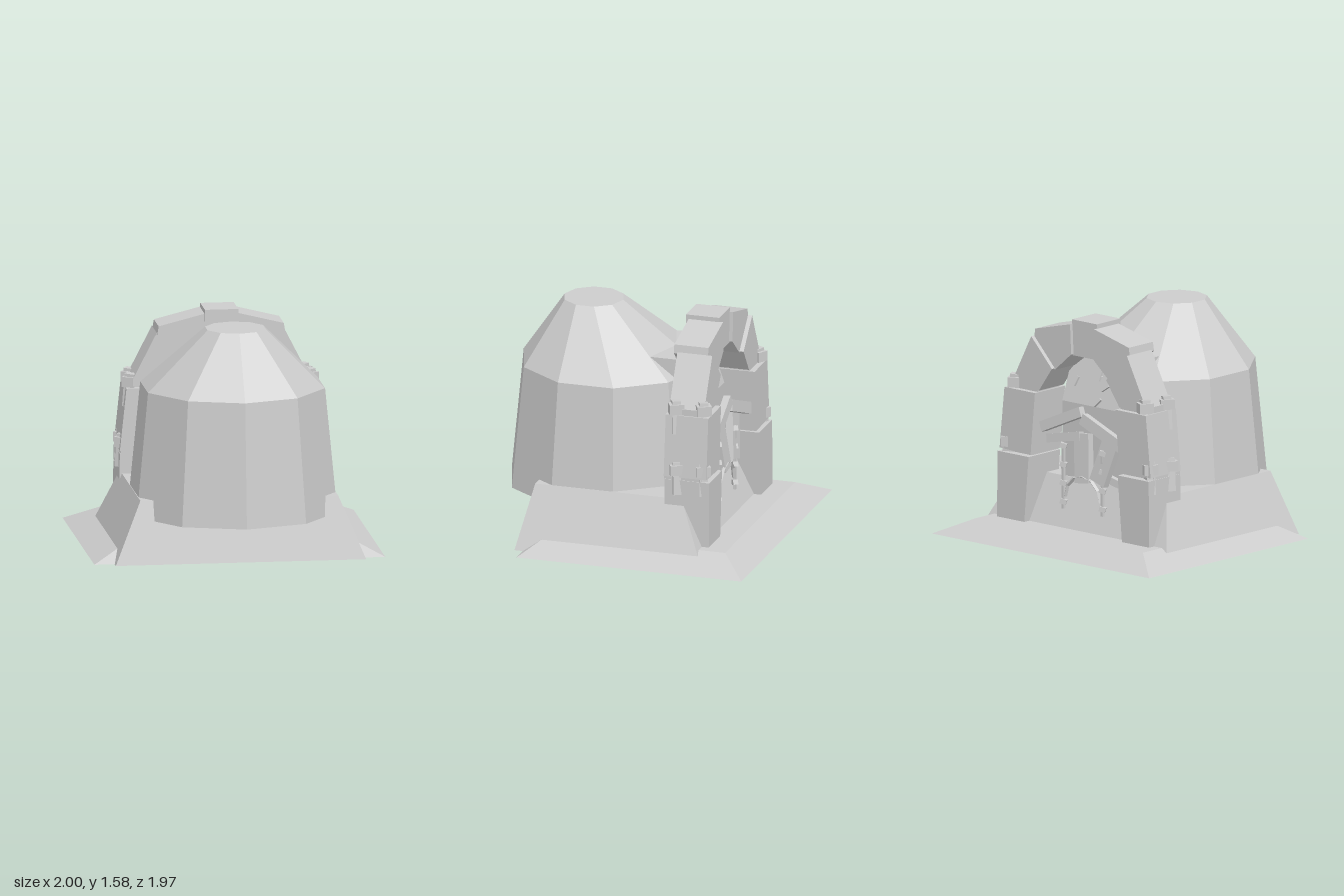
import * as THREE from 'three';

export function createModel() {
  const group = new THREE.Group();
  const stone = new THREE.MeshStandardMaterial({ color: 0xcccccc });
  stone.name = 'pale stone';
  stone.flatShading = true;

  const add = (name, geometry, parent = group) => {
    const mesh = new THREE.Mesh(geometry, stone);
    mesh.name = name;
    parent.add(mesh);
    return mesh;
  };

  const box = (name, size, pos, rot = [0, 0, 0], parent = group) => {
    const mesh = add(name, new THREE.BoxGeometry(...size), parent);
    mesh.position.set(...pos);
    mesh.rotation.set(...rot);
    return mesh;
  };

  // Box whose top rectangle differs from its bottom; ranges are [halfX, zBack, zFront]
  const frustum = (name, height, bottom, top) => {
    const g = new THREE.BoxGeometry(2, 1, 2);
    const p = g.attributes.position;
    for (let i = 0; i < p.count; i++) {
      const high = p.getY(i) > 0;
      const [hx, zb, zf] = high ? top : bottom;
      p.setXYZ(i, p.getX(i) * hx, high ? height : 0, p.getZ(i) > 0 ? zf : zb);
    }
    g.computeVertexNormals();
    return add(name, g);
  };

  // Flat polygon given thickness from zBack to zFront
  const slab = (name, points, zBack, zFront, parent = group) => {
    const shape = new THREE.Shape(points.map(([x, y]) => new THREE.Vector2(x, y)));
    const g = new THREE.ExtrudeGeometry(shape, { depth: zFront - zBack, bevelEnabled: false });
    g.translate(0, 0, zBack);
    return add(name, g, parent);
  };

  // Stepped base
  frustum('footing', 0.11, [1, -0.99, 0.62], [0.77, -0.8, 0.46]);
  frustum('plinth', 0.43, [0.86, -0.66, 0.68], [0.68, -0.46, 0.59]);

  // Ten-sided tower with an off-centre sloping roof
  const wall = new THREE.CylinderGeometry(0.64, 0.725, 0.86, 10);
  add('towerWall', wall).position.set(0, 0.72, 0.253);
  const roof = new THREE.CylinderGeometry(0.21, 0.64, 0.425, 10);
  const rp = roof.attributes.position;
  for (let i = 0; i < rp.count; i++) if (rp.getY(i) > 0) rp.setZ(i, rp.getZ(i) + 0.137);
  add('towerRoof', roof).position.set(0, 1.3625, 0.253);

  // Passage joining the tower to the gateway, with a sloping hood
  const hood = slab('passage',
    [[0.1, 0.1], [0.1, 1.29], [-0.33, 1.29], [-0.45, 0.95], [-0.45, 0.1]], -0.29, 0.29);
  hood.rotation.y = -Math.PI / 2;

  // Gateway arch: mirrored stones and a keystone
  const arch = new THREE.Group();
  arch.name = 'gatewayArch';
  group.add(arch);
  const stones = [
    ['footStone', [[0.45, 0.1], [0.7, 0.1], [0.695, 0.57], [0.41, 0.57]], -0.66, -0.34],
    ['jambStone', [[0.41, 0.58], [0.695, 0.59], [0.65, 1.02], [0.37, 1.02]], -0.64, -0.335],
    ['springerStone', [[0.37, 1.03], [0.63, 1.03], [0.44, 1.4], [0.25, 1.2]], -0.6, -0.35],
    ['archStone', [[0.25, 1.19], [0.44, 1.39], [0.43, 1.45], [0.11, 1.53], [0.1, 1.32]], -0.57, -0.325],
  ];
  for (const s of [1, -1]) {
    for (const [name, pts, zb, zf] of stones) {
      const mirrored = pts.map(([x, y]) => [x * s, y]);
      slab(name, mirrored, zb, zf, arch);
    }
    // Mortar beds and corner cramps at the two joints
    box('lowerBed', [0.26, 0.03, 0.27], [s * 0.56, 0.58, -0.47], [0, 0, 0], arch);
    box('upperBed', [0.26, 0.05, 0.22], [s * 0.51, 1.04, -0.49], [0, 0, 0], arch);
    for (const [x, y, z] of [[0.67, 0.58, -0.42], [0.65, 0.58, -0.6], [0.62, 1, -0.4], [0.6, 1, -0.59]]) {
      box('cramp', [0.07, 0.23, 0.06], [s * x, y, z], [0, s * 0.5, s * 0.08], arch);
      box('crampHead', [0.08, 0.07, 0.1], [s * x, y + 0.06, z], [0, s * 0.5, 0], arch);
    }
  }
  slab('keystone', [[-0.11, 1.31], [0.11, 1.31], [0.115, 1.56], [-0.115, 1.56]], -0.545, -0.305, arch);

  // Broken boards across the doorway: [width, height, x, y, z, tilt]
  const boards = [
    [0.38, 0.07, 0.17, 0.86, -0.58, -0.42], [0.4, 0.08, -0.2, 0.82, -0.58, 0.36],
    [0.13, 0.34, 0.02, 0.6, -0.53, -0.12], [0.14, 0.36, -0.2, 0.63, -0.54, 0.3],
    [0.3, 0.06, 0.2, 0.72, -0.52, -0.2], [0.26, 0.05, -0.22, 0.48, -0.51, 0.2],
  ];
  for (const [w, h, x, y, z, tilt] of boards) {
    box('brokenBoard', [w, h, 0.05], [x, y, z], [0.12, 0, tilt]);
  }

  // Hanging iron straps with links, joined by a small hoop
  for (const x of [0.18, -0.18]) {
    box('strap', [0.018, 0.46, 0.018], [x, 0.46, -0.56]);
    for (let i = 0; i < 4; i++) box('link', [0.045, 0.035, 0.035], [x, 0.28 + i * 0.13, -0.56], [0, 0.6, 0.3]);
  }
  add('hoop', new THREE.TorusGeometry(0.16, 0.014, 4, 6, Math.PI)).position.set(0, 0.32, -0.56);

  // Iron pins set in the hood
  for (const [x, y, tilt] of [[0.2, 1.09, 0.3], [0, 1.15, 0.1], [-0.07, 1.08, 0.9], [-0.03, 0.98, 0.7]]) {
    box('pin', [0.018, 0.07, 0.03], [x, y, -0.45 + (y - 0.95) * 0.353], [0.34, 0, tilt]);
  }
  return group;
}
